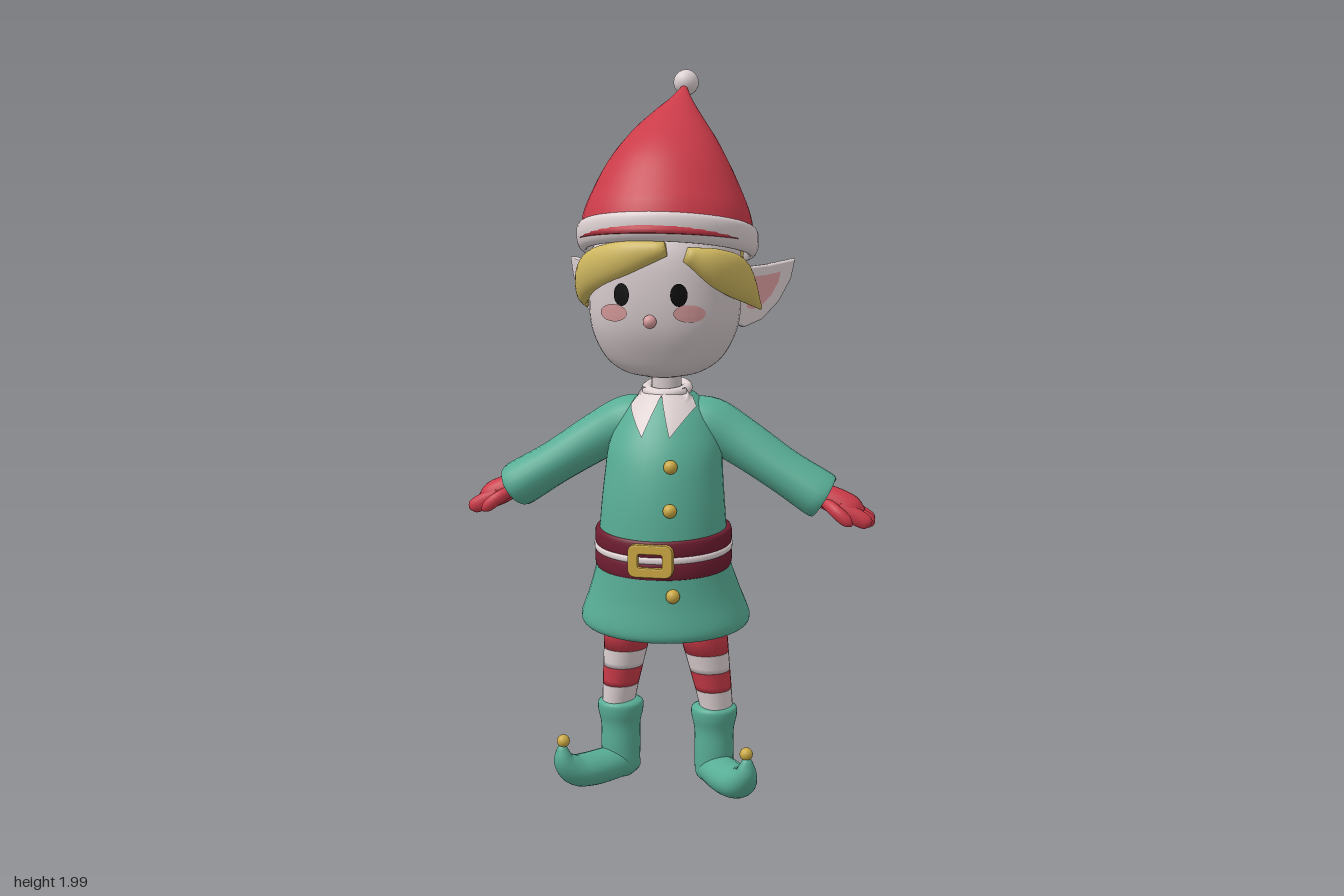
import * as THREE from 'three';

const mat = (name, color) => Object.assign(new THREE.MeshStandardMaterial({ color }), { name });
const M = {
  red: mat('red felt', 0xcb3b49), green: mat('green cloth', 0x58ad95), white: mat('white trim', 0xe0d3d4),
  skin: mat('pale skin', 0xd6cacc), hair: mat('blond hair', 0xd0b860), gold: mat('gold', 0xcba944),
  belt: mat('belt leather', 0x6e1d30), black: mat('eye black', 0x0c0c0e), pink: mat('blush pink', 0xd79a9b),
};

const V = (x, y, z) => new THREE.Vector3(x, y, z);
const X = V(1, 0, 0), Y = V(0, 1, 0);

// Smooth skin over elliptical rings. A row is [x, y, z, half size along hint, half size across].
function loft(rows, hint, { dir = null, seg = 28, steps = 5, pow = 2, caps = true } = {}) {
  const path = new THREE.CatmullRomCurve3(rows.map(r => V(r[0], r[1], r[2])), false, 'catmullrom');
  const size = new THREE.CatmullRomCurve3(rows.map(r => V(r[3], r[4], 0)), false, 'catmullrom');
  const n = (rows.length - 1) * steps, pos = [], idx = [];
  const bulge = v => Math.sign(v) * Math.abs(v) ** (2 / pow);
  for (let i = 0; i <= n; i++) {
    const c = path.getPoint(i / n), r = size.getPoint(i / n);
    const t = dir ? dir.clone().normalize() : path.getTangent(i / n);
    const h = hint.clone().addScaledVector(t, -hint.dot(t)).normalize();
    const k = t.clone().cross(h);
    for (let j = 0; j < seg; j++) {
      const a = j / seg * Math.PI * 2;
      const p = c.clone().addScaledVector(h, r.x * bulge(Math.cos(a))).addScaledVector(k, r.y * bulge(Math.sin(a)));
      pos.push(p.x, p.y, p.z);
      if (i < n) {
        const q = i * seg + j, w = i * seg + (j + 1) % seg;
        idx.push(q, w, w + seg, q, w + seg, q + seg);
      }
    }
  }
  if (caps) {
    const s = pos.length / 3, a = path.getPoint(0), b = path.getPoint(1);
    pos.push(a.x, a.y, a.z, b.x, b.y, b.z);
    for (let j = 0; j < seg; j++) {
      const w = (j + 1) % seg;
      idx.push(s, w, j, s + 1, n * seg + j, n * seg + w);
    }
  }
  const g = new THREE.BufferGeometry();
  g.setAttribute('position', new THREE.Float32BufferAttribute(pos, 3));
  g.setIndex(idx);
  g.computeVertexNormals();
  return g;
}

// Depth of the front surface at x, y
function frontZ(targets, x, y) {
  const hit = new THREE.Raycaster(V(x, y, 2), V(0, 0, -1)).intersectObjects(targets)[0];
  return hit ? hit.point.z : 0.06;
}
// Lays a flat geometry on the front of other meshes
function drape(geo, targets, lift) {
  const p = geo.attributes.position;
  for (let i = 0; i < p.count; i++) p.setZ(i, frontZ(targets, p.getX(i), p.getY(i)) + lift);
  geo.computeVertexNormals();
  return geo;
}

export function createModel() {
  const root = new THREE.Group();
  const add = (name, geo, material, parent = root) => {
    const m = new THREE.Mesh(geo, material);
    m.name = name;
    parent.add(m);
    return m;
  };
  const ball = (name, r, material, x, y, z, parent) => {
    const m = add(name, new THREE.SphereGeometry(r, 18, 12), material, parent);
    m.position.set(x, y, z);
    return m;
  };
  const lean = V(0, 1, 0.11), hatLean = V(0, 0.98, -0.19);

  // Tunic with an open, rounded hem
  const tunic = add('tunic', loft([
    [0, .6, .06, .16, .13], [0, .5, .05, .2, .16], [0, .477, .05, .218, .176], [0, .5, .05, .236, .192],
    [0, .58, .06, .208, .175], [0, .67, .075, .183, .157], [0, .8, .08, .172, .148], [0, .9, .07, .163, .145],
    [0, .98, .052, .155, .14], [0, 1.05, .032, .128, .122], [0, 1.1, .025, .09, .088], [0, 1.135, .03, .045, .045],
  ], X, { dir: lean, seg: 40 }), M.green);

  // Belt, its stripe and the buckle
  const band = (name, y, h, grow, material) => add(name, loft([
    [0, y - h, .075, .17, .14], [0, y - h * .9, .075, .186 + grow, .157 + grow], [0, y, .075, .19 + grow, .161 + grow],
    [0, y + h * .9, .075, .186 + grow, .157 + grow], [0, y + h, .075, .17, .14],
  ], X, { dir: lean, seg: 40 }), material);
  band('beltLower', .672, .027, 0, M.belt);
  band('beltUpper', .73, .025, 0, M.belt);
  band('beltStripe', .702, .01, .002, M.white);
  const frame = (w, h, r, S) => {
    const s = new S();
    s.moveTo(-w + r, -h).lineTo(w - r, -h).quadraticCurveTo(w, -h, w, -h + r).lineTo(w, h - r)
      .quadraticCurveTo(w, h, w - r, h).lineTo(-w + r, h).quadraticCurveTo(-w, h, -w, h - r)
      .lineTo(-w, -h + r).quadraticCurveTo(-w, -h, -w + r, -h);
    return s;
  };
  const buckleShape = frame(.058, .041, .02, THREE.Shape);
  buckleShape.holes.push(frame(.037, .022, .01, THREE.Path));
  const buckle = add('buckle', new THREE.ExtrudeGeometry(buckleShape, {
    depth: .014, bevelSize: .004, bevelThickness: .004, bevelSegments: 2 }), M.gold);
  buckle.position.set(0, .685, .226);

  // Buttons
  for (const [x, y] of [[.047, .935], [.05, .82], [.06, .59]])
    ball('button', .019, M.gold, x, y, frontZ([tunic], x, y) + .004);

  // Neck and collar
  const neck = add('neck', loft([[0, 1.08, .032, .042, .042], [0, 1.22, .036, .04, .04]], X), M.skin);
  const collarBand = add('collarBand', new THREE.TorusGeometry(.055, .016, 10, 30), M.white);
  collarBand.position.set(0, 1.127, .028);
  collarBand.rotation.x = Math.PI / 2 + .22;
  for (const s of [1, -1]) {
    const flap = new THREE.PlaneGeometry(1, 1, 8, 8), p = flap.attributes.position;
    const corners = [[0, 1.115], [.06, 1.135], [.038, 1.008], [.092, 1.085]];
    for (let i = 0; i < p.count; i++) {
      const u = s * p.getX(i) + .5, v = .5 - p.getY(i);
      const at = k => (1 - v) * ((1 - u) * corners[0][k] + u * corners[1][k]) + v * ((1 - u) * corners[2][k] + u * corners[3][k]);
      p.setXY(i, s * at(0), at(1));
    }
    add('collarFlap', drape(flap, [tunic, neck], .009), M.white).material.side = THREE.DoubleSide;
  }

  // Head and face
  const head = add('head', loft([
    [0, 1.165, .08, .04, .04], [0, 1.18, .075, .105, .09], [0, 1.22, .066, .16, .128], [0, 1.3, .055, .198, .173],
    [0, 1.4, .047, .205, .192], [0, 1.5, .04, .2, .19], [0, 1.58, .03, .17, .16],
  ], X, { dir: Y, seg: 44, pow: 2.3 }), M.skin);
  ball('nose', .018, M.pink, 0, 1.325, frontZ([head], 0, 1.325) + .006);
  const spot = (name, x, y, rx, ry, lift, material) => {
    const g = new THREE.RingGeometry(.001, 1, 24, 4).scale(rx, ry, 1).translate(x, y, 0);
    add(name, drape(g, [head], lift), material);
  };
  for (const s of [1, -1]) {
    spot('eye', s * .077, 1.395, .022, .03, .006, M.black);
    spot('cheek', s * .102, 1.346, .04, .023, .004, M.pink);
  }

  // Ears with pink hollows
  const earPoints = [[-.03, .07], [.08, .08], [.163, .095], [.15, .045], [.11, -.02], [.055, -.07], [0, -.09], [-.03, -.08]];
  for (const s of [1, -1]) {
    const ear = new THREE.Group();
    ear.name = 'ear';
    ear.position.set(s * .187, 1.38, -.072);
    ear.rotation.y = s * .67;
    root.add(ear);
    const outline = k => new THREE.Shape(earPoints.map(([x, y]) => new THREE.Vector2(s * ((x - .05) * k + .05), (y - .02) * k + .02)));
    add('earShell', new THREE.ExtrudeGeometry(outline(.94), {
      depth: .012, bevelSize: .006, bevelThickness: .008, bevelSegments: 3 }), M.skin, ear);
    const hollow = add('earHollow', new THREE.ShapeGeometry(outline(.55)), M.pink, ear);
    hollow.position.z = .023;
  }

  // Hair: back cap and two swept locks
  add('hairBack', loft([
    [0, 1.195, -.06, .02, .015], [0, 1.215, -.065, .075, .055], [0, 1.26, -.07, .125, .085], [0, 1.34, -.07, .168, .118],
    [0, 1.43, -.06, .19, .137], [0, 1.53, -.04, .2, .15],
  ], X, { dir: Y }), M.hair);
  add('hairLockRight', loft([
    [.04, 1.515, .235, .02, .02], [-.07, 1.49, .225, .045, .025], [-.17, 1.455, .165, .055, .03],
    [-.222, 1.41, .07, .05, .026], [-.245, 1.345, -.04, .005, .005],
  ], Y), M.hair);
  add('hairLockLeft', loft([
    [.09, 1.5, .215, .02, .02], [.165, 1.465, .175, .05, .03], [.217, 1.425, .09, .053, .028], [.245, 1.345, -.05, .005, .005],
  ], Y), M.hair);

  // Hat, fur brim and pompom
  add('hat', loft([
    [0, 1.525, .035, .24, .232], [0, 1.605, .024, .226, .213], [0, 1.692, .003, .188, .167], [0, 1.775, -.04, .138, .115],
    [0, 1.85, -.098, .08, .066], [0, 1.905, -.15, .037, .028], [0, 1.95, -.195, .008, .008],
  ], X, { seg: 40 }), M.red);
  add('hatBrim', loft([
    [0, 1.555, .022, .205, .195], [0, 1.496, .022, .222, .214], [0, 1.503, .022, .242, .233], [0, 1.535, .022, .249, .24],
    [0, 1.565, .022, .242, .233], [0, 1.575, .022, .215, .205],
  ], X, { dir: hatLean, seg: 40, caps: false }), M.white);
  ball('pompom', .036, M.white, 0, 1.965, -.22);

  for (const s of [1, -1]) {
    const limb = (name, rows, material) => add(name, loft(rows.map(r => [s * r[0], ...r.slice(1)]), Y, { seg: 20 }), material);
    // Sleeve
    limb('sleeve', [
      [.03, 1.055, 0, .05, .075], [.11, 1.03, 0, .073, .086], [.2, .985, .008, .067, .072], [.32, .91, .02, .061, .072],
      [.42, .849, .025, .065, .079], [.438, .838, .025, .06, .072], [.43, .843, .025, .045, .05],
    ].slice(0, 6), M.green);
    // Glove: palm, fingers and thumb
    limb('glovePalm', [[.4, .855, .02, .03, .03], [.46, .832, .02, .036, .04], [.51, .808, .02, .036, .044], [.54, .794, .02, .018, .03]], M.red);
    for (const [z, len] of [[-.01, .94], [.02, 1], [.05, .9]])
      limb('gloveFinger', [[.48, .818, z, .02, .016], [.52, .796, z, .024, .018],
        [.52 + .04 * len, .796 - .02 * len, z, .02, .016], [.52 + .053 * len, .796 - .028 * len, z, .006, .005]], M.red);
    limb('gloveThumb', [[.44, .83, .04, .015, .015], [.475, .81, .075, .018, .016], [.505, .786, .083, .016, .014], [.52, .774, .082, .005, .005]], M.red);

    // Striped leg
    const legAt = y => {
      const t = Math.min(1, (.47 - y) / .25);
      return [s * (.104 + .04 * t), y, .05 - .025 * t, .069 - .025 * t, .073 - .018 * t];
    };
    [.56, .395, .342, .287, .21].forEach((y, i, a) => {
      if (i < 4) add('legStripe', loft([legAt(y), legAt(a[i + 1])], X, { dir: V(0, -1, 0), seg: 24 }), i % 2 ? M.white : M.red);
    });

    // Curled boot with a bell
    const boot = new THREE.Group();
    boot.name = 'boot';
    boot.position.set(s * .135, 0, .028);
    boot.rotation.y = s * .62;
    root.add(boot);
    add('bootShaft', loft([
      [0, .015, 0, .03, .03], [0, .04, 0, .052, .05], [0, .1, 0, .055, .056], [0, .165, 0, .055, .056],
      [0, .205, 0, .063, .064], [0, .23, 0, .063, .064], [0, .24, 0, .048, .048],
    ], X, { dir: Y }), M.green, boot);
    add('bootFoot', loft([
      [0, .05, -.055, .015, .015], [0, .05, -.035, .042, .036], [0, .054, .03, .055, .045], [0, .055, .11, .058, .046],
      [0, .064, .165, .05, .043], [0, .095, .203, .034, .031], [0, .128, .212, .02, .018], [0, .148, .209, .009, .009],
    ], X), M.green, boot);
    ball('bootBell', .018, M.gold, 0, .157, .209, boot);
  }
  return root;
}
